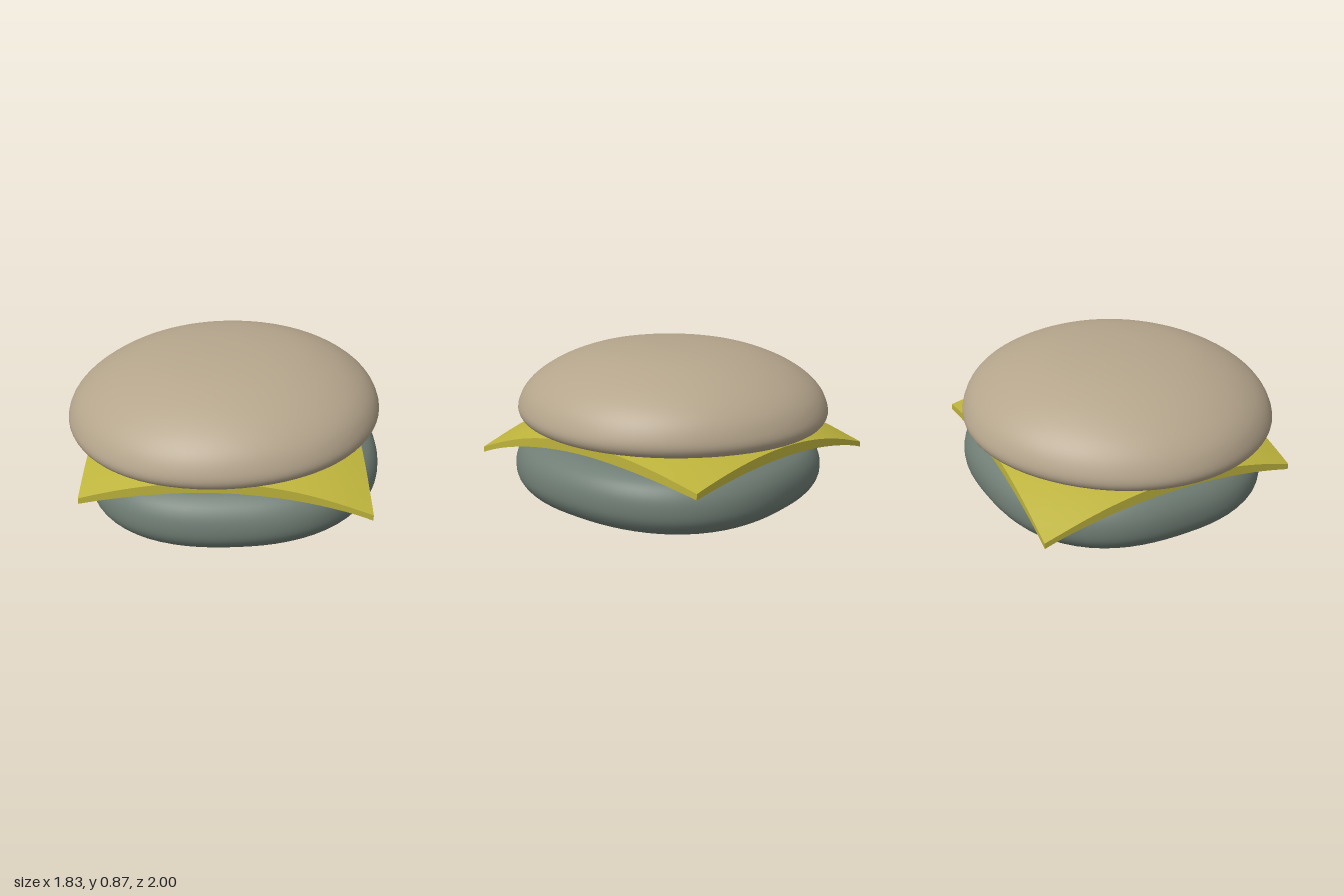
import * as THREE from 'three';
import { mergeVertices } from 'three/addons/utils/BufferGeometryUtils.js';

const TURN = -0.37; // how far the square parts are turned about y

// Moves every vertex of a geometry by a rule
function warp(geometry, rule) {
  const pos = geometry.attributes.position;
  const v = new THREE.Vector3();
  for (let i = 0; i < pos.count; i++) {
    v.fromBufferAttribute(pos, i);
    rule(v);
    pos.setXYZ(i, v.x, v.y, v.z);
  }
  geometry.computeVertexNormals();
  return geometry;
}

// Smooth lathed bun: profile runs from the underside centre to the top centre.
// power 2 is round, higher is squarer; slope leans it along x.
function makeBun(name, profile, { power, slope, x, z, color }) {
  const curve = new THREE.SplineCurve(profile.map(([r, y]) => new THREE.Vector2(r, y)));
  const points = curve.getPoints(48);
  points.forEach((p) => { p.x = Math.max(p.x, 0); });
  let geometry = new THREE.LatheGeometry(points, 72);
  geometry.deleteAttribute('uv');
  geometry.deleteAttribute('normal');
  geometry = mergeVertices(geometry, 1e-4);
  warp(geometry, (v) => {
    const a = Math.atan2(v.z, v.x) + TURN;
    const k = (Math.abs(Math.cos(a)) ** power + Math.abs(Math.sin(a)) ** power) ** (-1 / power);
    const bump = 1 + 0.004 * Math.sin(5 * a + 7 * v.y) * Math.min(1, Math.hypot(v.x, v.z));
    v.x = v.x * k * bump + x;
    v.z = v.z * k * bump + z;
    v.y += slope * v.x;
  });
  const mesh = new THREE.Mesh(geometry, new THREE.MeshStandardMaterial({ color }));
  mesh.name = name;
  return mesh;
}

// Square slice draped between the buns, its corners hanging down
function makeCheese() {
  const corners = [[-0.36, -1.0, 0.13], [0.91, -0.4, 0.105], [-0.92, 0.34, 0.125], [0.39, 1.0, 0.155]];
  const geometry = warp(new THREE.BoxGeometry(1, 1, 1, 32, 1, 32), (v) => {
    const s = v.x + 0.5, t = v.z + 0.5;
    const w = [(1 - s) * (1 - t), s * (1 - t), (1 - s) * t, s * t];
    const mix = (k) => corners.reduce((sum, c, i) => sum + c[k] * w[i], 0);
    const x = mix(0), z = mix(1);
    const r = Math.hypot(x, z);
    const droop = mix(2) * (Math.max(0, r - 0.62) / 0.4) ** 1.25;
    const thickness = r < 0.75 ? 0.055 : Math.max(0.03, 0.055 - 0.1 * (r - 0.75));
    v.set(x, 0.437 + 0.05 * x - droop + v.y * thickness, z);
  });
  const mesh = new THREE.Mesh(geometry, new THREE.MeshStandardMaterial({ color: 0xbdb33c }));
  mesh.name = 'cheeseSlice';
  return mesh;
}

export function createModel() {
  const group = new THREE.Group();
  group.name = 'burger';

  // Domed bun on top
  group.add(makeBun('topBun', [
    [0, 0.465], [0.4, 0.465], [0.7, 0.463], [0.81, 0.47], [0.85, 0.505], [0.85, 0.56],
    [0.81, 0.64], [0.73, 0.715], [0.6, 0.787], [0.42, 0.846], [0.2, 0.876], [0, 0.882],
  ], { power: 2, slope: 0.04, x: -0.01, z: 0.01, color: 0xb5a58c }));

  group.add(makeCheese());

  // Flatter, slightly squared bun below
  group.add(makeBun('bottomBun', [
    [0, 0.034], [0.4, 0.034], [0.62, 0.042], [0.73, 0.075], [0.79, 0.14], [0.805, 0.21],
    [0.79, 0.285], [0.74, 0.345], [0.64, 0.383], [0.4, 0.4], [0, 0.405],
  ], { power: 2.4, slope: 0.05, x: 0.045, z: 0.02, color: 0x6f7d74 }));

  return group;
}
